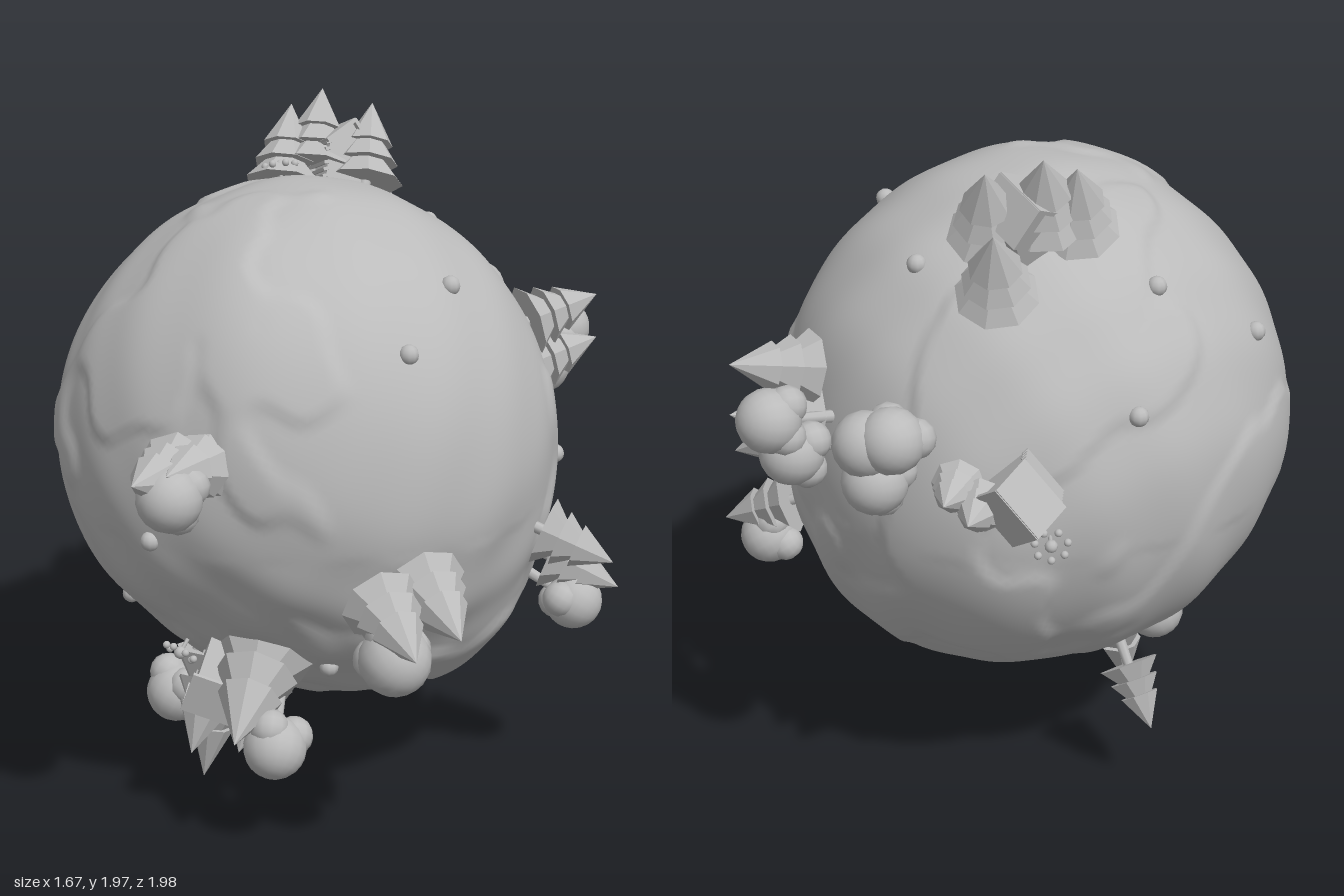
import * as THREE from 'three';
import { mergeVertices } from 'three/addons/utils/BufferGeometryUtils.js';

const V = (x, y, z) => new THREE.Vector3(x, y, z);
const CENTRE = V(-0.105, 1.05, -0.01);
const RADIUS = 0.73;
const UP = V(0, 1, 0);
const outward = (p) => p.clone().sub(CENTRE).normalize();

// A broad hill (or dent, when height is negative) around a direction
const hill = (x, y, z, height) => ({ dir: V(x, y, z).normalize(), height });
const HILLS = [
  hill(0.55, -0.75, -0.1, 0.085), hill(0.1, -0.95, -0.1, 0.04),
  hill(-0.7, -0.68, 0.2, -0.035), hill(-0.1, -0.65, 0.7, -0.04),
  hill(0.1, 0.65, 0.75, 0.03), hill(0.15, -0.28, -0.95, 0.025),
  hill(0, 1, 0, 0.02), hill(0.8, 0.1, -0.6, -0.015),
];

// Land height: hills, low plateaus with soft edges, and fine ripples
function landRadius(d) {
  let r = RADIUS;
  for (const { dir, height } of HILLS) r += height * Math.exp(10 * (dir.dot(d) - 1));
  const n = Math.sin(4 * d.x + 2 * d.y + 1) + Math.sin(4 * d.y - 3 * d.z + 2)
    + Math.sin(5 * d.z + 3 * d.x) + 0.5 * Math.sin(9 * d.x + 7 * d.z) + 0.5 * Math.sin(11 * d.y + 6 * d.x)
    + 0.25 * Math.sin(23 * d.x + 5 * d.y) + 0.25 * Math.sin(21 * d.z - 9 * d.y);
  r += 0.011 * THREE.MathUtils.smoothstep(n, 0, 0.5);
  const rough = d.y < -0.2 ? 0.007 : 0.004;
  return r + rough * Math.sin(13 * d.x + 3 * d.y) * Math.sin(12 * d.z + 9 * d.y);
}

const onLand = (p) => {
  const d = outward(p);
  return CENTRE.clone().addScaledVector(d, landRadius(d));
};

const flat = (g) => {
  const f = g.toNonIndexed();
  f.computeVertexNormals();
  return f;
};

function planetGeometry() {
  let land = new THREE.IcosahedronGeometry(1, 40);
  land.deleteAttribute('uv');
  land.deleteAttribute('normal');
  land = mergeVertices(land, 1e-4);
  const pos = land.attributes.position;
  const d = V(0, 0, 0);
  for (let i = 0; i < pos.count; i++) {
    d.fromBufferAttribute(pos, i).normalize();
    const p = d.clone().multiplyScalar(landRadius(d)).add(CENTRE);
    pos.setXYZ(i, p.x, p.y, p.z);
  }
  land.computeVertexNormals();
  return land;
}

export function createModel() {
  const root = new THREE.Group();
  root.name = 'forestPlanet';
  const grey = new THREE.MeshStandardMaterial({ color: 0xbbbbbb });
  grey.name = 'grey';

  const mesh = (name, geometry, parent) => {
    const m = new THREE.Mesh(geometry, grey);
    m.name = name;
    parent.add(m);
    return m;
  };
  // Group at a point whose local y follows the axis
  const standing = (name, point, axis, spin = 0) => {
    const g = new THREE.Group();
    g.name = name;
    g.position.copy(point);
    g.quaternion.setFromUnitVectors(UP, axis);
    g.rotateY(spin);
    root.add(g);
    return g;
  };
  // Repeat a small ball around the local y axis
  const ring = (name, parent, count, ballRadius, ringRadius, y) => {
    for (let i = 0; i < count; i++) {
      const t = i * Math.PI * 2 / count;
      mesh(name, new THREE.SphereGeometry(ballRadius, 12, 8), parent)
        .position.set(Math.cos(t) * ringRadius, y, Math.sin(t) * ringRadius);
    }
  };

  mesh('planet', planetGeometry(), root);

  // Conifer: stacked eight-sided tiers and a trunk, placed by its tip
  const conifer = (tip, axis, r, tiers = 3) => {
    const h = r * 1.15;
    const step = h * 0.45;
    const len = h + (tiers - 1) * step;
    const g = standing('conifer', tip.clone().addScaledVector(axis, -len), axis, tip.x * 9);
    for (let i = 0; i < tiers; i++) {
      const tier = mesh('tier', flat(new THREE.ConeGeometry(r * (1 - 0.18 * i), h, 8)), g);
      tier.position.y = h / 2 + step * i;
    }
    mesh('trunk', new THREE.CylinderGeometry(r * 0.16, r * 0.2, 0.14, 8), g).position.y = -0.06;
  };

  // Conifers of one grove stand parallel
  const grove = (r, ...tips) => {
    const middle = V(0, 0, 0);
    for (const t of tips) middle.addScaledVector(t, 1 / tips.length);
    for (const t of tips) conifer(t, outward(middle), r);
  };

  // Round tree: ball crown with smaller lobes and a trunk
  const roundTree = (x, y, z, r = 0.09) => {
    const centre = V(x, y, z);
    const g = standing('roundTree', centre, outward(centre), x * 7);
    mesh('crown', new THREE.SphereGeometry(r, 16, 12), g);
    ring('lobe', g, 3, r * 0.62, r * 0.55, -r * 0.45);
    mesh('trunk', new THREE.CylinderGeometry(0.014, 0.018, 0.16, 8), g).position.y = -r - 0.04;
  };

  // House: gabled block with clapboards on one side
  const gable = new THREE.Shape();
  gable.moveTo(-0.07, -0.05).lineTo(0.07, -0.05).lineTo(0.07, 0.12).lineTo(0, 0.19).lineTo(-0.07, 0.12);
  const house = (point, spin) => {
    const g = standing('house', onLand(point), outward(point), spin);
    const body = new THREE.ExtrudeGeometry(gable, { depth: 0.14, bevelEnabled: false });
    mesh('walls', body, g).position.z = -0.07;
    for (const s of [-1, 1]) {
      const roof = mesh('roof', new THREE.BoxGeometry(0.125, 0.012, 0.17), g);
      roof.position.set(s * 0.042, 0.154, 0);
      roof.rotation.z = -s * Math.PI / 4;
    }
    for (let i = 0; i < 6; i++) {
      const board = mesh('clapboard', new THREE.BoxGeometry(0.02, 0.01, 0.15), g);
      board.position.set(-0.075, 0.005 + i * 0.021, 0);
      board.rotation.z = 0.4;
    }
  };

  // Flower: ring of small petals on a stem
  const flower = (point) => {
    const g = standing('flower', onLand(point), outward(point));
    mesh('stem', new THREE.CylinderGeometry(0.006, 0.006, 0.05, 6), g).position.y = 0.02;
    mesh('heart', new THREE.SphereGeometry(0.018, 10, 8), g).position.y = 0.045;
    ring('petal', g, 7, 0.011, 0.045, 0.045);
  };

  // Front grove
  grove(0.112, V(-0.28, 1.2, 0.99), V(-0.21, 1.21, 0.92));
  roundTree(-0.22, 1.13, 0.87);
  // Front left grove
  grove(0.115, V(0.44, 0.72, 0.82), V(0.53, 0.74, 0.69));
  roundTree(0.35, 0.67, 0.7, 0.1);
  // Left grove
  grove(0.1, V(0.83, 0.77, 0.08), V(0.82, 0.63, -0.09));
  roundTree(0.69, 0.58, -0.08, 0.085);
  // Back left grove
  grove(0.11, V(0.64, 1.37, -0.6), V(0.64, 1.23, -0.62));
  roundTree(0.52, 1.24, -0.66);
  roundTree(0.47, 1.13, -0.62);
  // Underside grove
  conifer(V(-0.37, 0, 0.2), V(-0.14, -1, 0.13).normalize(), 0.145, 4);
  roundTree(-0.45, 0.27, 0.2);
  grove(0.09, V(-0.51, 0.22, -0.41));

  // Top homestead
  grove(0.115, V(-0.2, 1.97, -0.52), V(-0.28, 1.93, -0.46), V(-0.1, 1.825, -0.71), V(-0.05, 1.93, -0.54));
  house(V(-0.13, 1.75, -0.42), 0.8);
  flower(V(-0.26, 1.76, -0.28));
  // Back homestead
  grove(0.075, V(-0.08, 1.14, -0.99), V(-0.01, 1.17, -0.95));
  roundTree(0.14, 1.31, -0.87);
  roundTree(0.21, 1.29, -0.86);
  roundTree(0.19, 1.18, -0.85);
  house(V(-0.19, 1.15, -0.85), 0.8);
  flower(V(-0.26, 0.99, -0.75));
  // Lower front homestead
  conifer(V(-0.1, 0.37, 0.72), V(0, -0.5, 0.87).normalize(), 0.145);
  grove(0.125, V(-0.31, 0.21, 0.48), V(-0.16, 0.24, 0.5));
  roundTree(-0.02, 0.32, 0.6);
  house(V(-0.22, 0.42, 0.5), 0.8);
  flower(V(-0.38, 0.44, 0.5));

  // Scattered stones
  const stones = [V(0.33, 1.46, 0.46), V(-0.36, 0.92, 0.67), V(-0.57, 0.59, 0.3), V(0.1, 0.46, 0.45),
    V(0.38, 1.59, 0.19), V(0.17, 1.63, -0.41), V(-0.47, 1.3, -0.6), V(-0.49, 1.58, -0.36),
    V(-0.75, 1.38, -0.16), V(0.59, 0.98, -0.22)];
  for (const p of stones) mesh('stone', new THREE.SphereGeometry(0.028, 10, 8), root).position.copy(onLand(p));
  return root;
}
